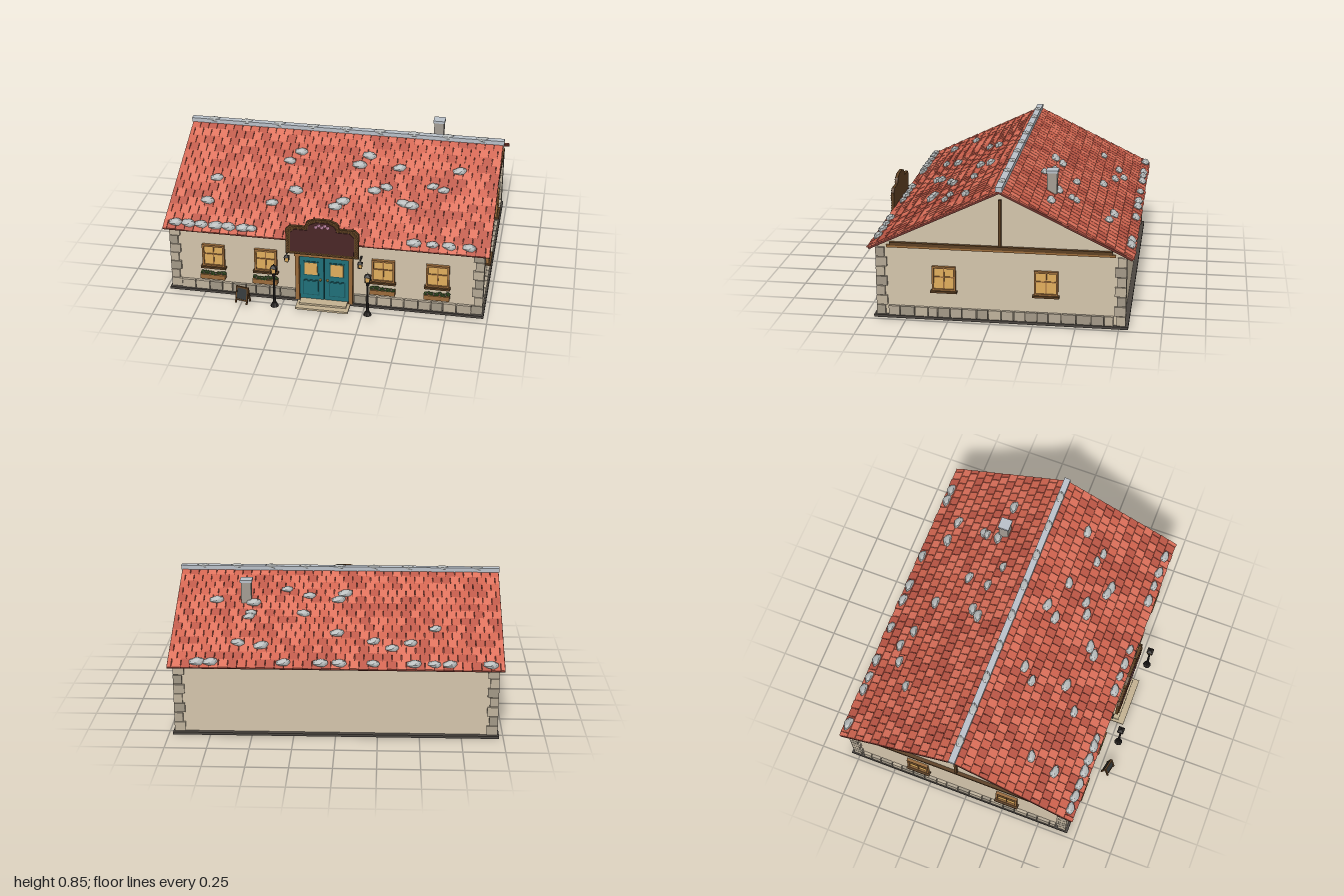
import * as THREE from 'three';
import { mergeGeometries } from 'three/addons/utils/BufferGeometryUtils.js';

const C = {
  plaster: 0xd3c4ab, slab: 0x4a4540, wood: 0x9a6b3a, dark: 0x5c3f22, amber: 0xe0ad5c, teal: 0x1f6f78,
  tealDark: 0x185860, iron: 0x2a2624, maroon: 0x4a2626, roof: 0x6e332b, pale: 0xb9c0c8, leaf: 0x3f5a2a,
  pink: 0xc88aa8, step: 0xc2b08f, brass: 0xc79a45, rock: 0xb4b8b8,
};
const STONES = [0xb3a794, 0xa29887, 0xbfb29c];
const TILES = [0xd0634e, 0xbc5645, 0xdd705a];
const MID = -0.055, RIDGE = 0.81, RUN = 0.77, DROP = 0.37;
const PITCH = Math.atan2(DROP, RUN), SLOPE = Math.hypot(DROP, RUN);

const mats = {};
const mat = (c) => (mats[c] ??= new THREE.MeshStandardMaterial({ color: c, flatShading: true }));
let seed = 7;
const rnd = () => ((seed = (seed * 16807) % 2147483647) / 2147483647);

function add(parent, name, geo, color, x = 0, y = 0, z = 0) {
  const m = new THREE.Mesh(geo, mat(color));
  m.name = name;
  m.position.set(x, y, z);
  parent.add(m);
  return m;
}
const box = (p, name, color, w, h, d, x, y, z) => add(p, name, new THREE.BoxGeometry(w, h, d), color, x, y, z);
function group(parent, name, x = 0, y = 0, z = 0, ry = 0) {
  const g = new THREE.Group();
  g.name = name;
  g.position.set(x, y, z);
  g.rotation.y = ry;
  parent.add(g);
  return g;
}

// One angular roof rock, flattened
function rockGeo(rx, ry, rz) {
  const g = new THREE.IcosahedronGeometry(1, 1), p = g.attributes.position;
  for (let i = 0; i < p.count; i++) {
    const k = 1 + 0.12 * Math.sin(9 * p.getX(i) + 5 * p.getY(i) + 7 * p.getZ(i));
    p.setXYZ(i, p.getX(i) * k * rx, p.getY(i) * k * ry, p.getZ(i) * k * rz);
  }
  return g;
}

// Window with four panes and a sill; origin at its centre on the wall
function windowUnit(parent, x, y) {
  const g = group(parent, 'window', x, y, 0);
  box(g, 'panes', C.amber, 0.12, 0.13, 0.01, 0, 0, 0.004);
  for (const s of [-1, 1]) {
    box(g, 'windowJamb', C.wood, 0.012, 0.148, 0.022, s * 0.064, 0, 0.008);
    box(g, 'windowRail', C.wood, 0.14, 0.012, 0.022, 0, s * 0.069, 0.008);
  }
  box(g, 'mullion', C.wood, 0.007, 0.13, 0.016, 0, 0, 0.006);
  box(g, 'crossbar', C.wood, 0.12, 0.007, 0.016, 0, 0.01, 0.006);
  box(g, 'windowSill', C.dark, 0.156, 0.012, 0.035, 0, -0.079, 0.014);
}

// Row of plinth stones between two positions along a wall
function plinth(parent, from, to) {
  for (let x = from; x < to - 0.01;) {
    let w = 0.055 + 0.035 * rnd();
    if (to - x - w < 0.03) w = to - x;
    box(parent, 'plinthStone', STONES[Math.floor(rnd() * 3)], w - 0.005, 0.056, 0.024, x + w / 2, 0.044, 0.006);
    x += w;
  }
}

// Roof plane: z runs down the slope from the ridge, y is outward
function roofSide(root, back, rocks) {
  const g = group(root, back ? 'backRoof' : 'frontRoof', 0, RIDGE, MID);
  g.rotation.set(PITCH, back ? Math.PI : 0, 0, 'YXZ');
  box(g, 'roofDeck', C.roof, 1.99, 0.014, SLOPE, 0, -0.004, SLOPE / 2);
  const lots = TILES.map(() => []);
  const rows = 14, cols = 36, step = SLOPE / rows, w = 1.99 / cols;
  for (let r = 0; r < rows; r++) {
    for (let c = 0; c <= cols; c++) {
      const x0 = Math.max(-0.995, -0.995 + (c - (r % 2) / 2) * w);
      const x1 = Math.min(0.995, -0.995 + (c + 1 - (r % 2) / 2) * w);
      if (x1 - x0 < 0.01) continue;
      const len = step * (1.02 + 0.12 * rnd());
      const t = new THREE.BoxGeometry(x1 - x0 - 0.004, 0.008, len);
      t.rotateX(0.07);
      t.translate((x0 + x1) / 2, 0.006, r * step + len / 2);
      lots[Math.floor(rnd() * 3)].push(t);
    }
  }
  lots.forEach((l, i) => add(g, 'roofTiles', mergeGeometries(l), TILES[i]));
  const lumps = rocks.map(([x, z]) => {
    const s = 0.85 + 0.3 * rnd();
    return rockGeo(0.04 * s, 0.02 * s, 0.024 * s).rotateY(rnd() * 0.5 - 0.25)
      .translate(back ? -x : x, 0.017, Math.abs(z - MID) / Math.cos(PITCH));
  });
  add(g, 'roofRocks', mergeGeometries(lumps), C.rock);
}

// Small four-sided lantern, origin at the bottom
function lantern(parent, x, y, z, s) {
  const g = group(parent, 'lantern', x, y, z);
  const cyl = (n, col, a, b, h, yy) => {
    add(g, n, new THREE.CylinderGeometry(a * s, b * s, h * s, 4).rotateY(Math.PI / 4), col, 0, yy * s, 0);
  };
  cyl('lanternBase', C.iron, 0.019, 0.014, 0.008, 0.004);
  cyl('lanternGlass', C.amber, 0.021, 0.015, 0.036, 0.026);
  cyl('lanternCap', C.iron, 0.006, 0.029, 0.015, 0.051);
  cyl('lanternTip', C.iron, 0.003, 0.004, 0.01, 0.063);
  for (const a of [-1, 1]) for (const b of [-1, 1])
    box(g, 'lanternBar', C.iron, 0.004 * s, 0.038 * s, 0.004 * s, a * 0.014 * s, 0.026 * s, b * 0.014 * s);
}

// Sign outline with stepped shoulders and a raised crown
function signShape(w, y0, y1, crownW, crownY) {
  const s = new THREE.Shape();
  s.moveTo(-w, y0).lineTo(w, y0).lineTo(w, y1 - 0.025).lineTo(w - 0.025, y1).lineTo(crownW + 0.03, y1);
  s.quadraticCurveTo(crownW + 0.025, crownY - 0.015, crownW, crownY - 0.012).lineTo(crownW * 0.6, crownY);
  s.lineTo(-crownW * 0.6, crownY).lineTo(-crownW, crownY - 0.012);
  s.quadraticCurveTo(-crownW - 0.025, crownY - 0.015, -crownW - 0.03, y1).lineTo(-w + 0.025, y1).lineTo(-w, y1 - 0.025);
  return s;
}

export function createModel() {
  const root = new THREE.Group();
  root.name = 'house';

  // Base slab and pentagonal wall block
  box(root, 'baseSlab', C.slab, 1.95, 0.016, 1.5, 0, 0.008, MID);
  const wall = new THREE.Shape();
  wall.moveTo(-0.72, 0.01).lineTo(0.72, 0.01).lineTo(0.72, 0.45).lineTo(0, 0.798).lineTo(-0.72, 0.45);
  const wallGeo = new THREE.ExtrudeGeometry(wall, { depth: 1.9, bevelEnabled: false });
  add(root, 'walls', wallGeo.translate(0, 0, -0.95).rotateY(Math.PI / 2), C.plaster, 0, 0, MID);

  // Corner stones, alternating long and short
  for (const sx of [-1, 1]) for (const sz of [-1, 1]) for (let i = 0; i < 7; i++) {
    const a = i % 2 ? 0.052 : 0.066, b = i % 2 ? 0.066 : 0.052;
    box(root, 'cornerStone', STONES[(i + sx + sz + 2) % 3], a, 0.056, b,
      sx * (0.966 - a / 2), 0.046 + i * 0.06, MID + sz * (0.734 - b / 2));
  }

  // Gable ends
  for (const s of [-1, 1]) {
    const g = group(root, 'gable', s * 0.95, 0, 0, s * Math.PI / 2);
    for (const z of [0.276, -0.325]) windowUnit(g, -s * z, 0.256);
    box(g, 'gableBeam', C.wood, 1.34, 0.014, 0.022, -s * MID, 0.443, 0.004);
    box(g, 'gableBeamTop', C.dark, 1.3, 0.02, 0.03, -s * MID, 0.46, 0.006);
    box(g, 'gablePost', C.dark, 0.016, 0.285, 0.024, -s * MID, 0.61, 0.004);
    plinth(g, -s * MID - 0.665, -s * MID + 0.665);
  }

  // Front: windows, flower boxes, plinth
  const front = group(root, 'front', 0, 0, 0.665);
  for (const x of [-0.693, -0.365, 0.36, 0.69]) {
    windowUnit(front, x, 0.256);
    const f = group(front, 'flowerBox', x, 0.128, 0.03);
    box(f, 'planter', C.wood, 0.155, 0.03, 0.04, 0, -0.004, 0);
    const leaves = [];
    for (let i = 0; i < 9; i++) leaves.push(new THREE.IcosahedronGeometry(0.013 + 0.004 * rnd(), 0)
      .translate(-0.066 + i * 0.0165, 0.014, (rnd() - 0.5) * 0.016));
    add(f, 'plants', mergeGeometries(leaves), C.leaf);
    for (let i = 0; i < 4; i++)
      add(f, 'blossom', new THREE.IcosahedronGeometry(0.005, 0), C.pink, -0.055 + i * 0.037, 0.022, 0.014);
  }
  plinth(front, -0.9, -0.18);
  plinth(front, 0.18, 0.9);

  // Double door
  const door = group(front, 'door');
  for (const s of [-1, 1]) {
    box(door, 'doorJamb', C.wood, 0.024, 0.32, 0.04, s * 0.165, 0.175, 0.014);
    box(door, 'doorLeaf', C.teal, 0.148, 0.3, 0.024, s * 0.076, 0.172, 0.012);
    box(door, 'doorGlassFrame', C.tealDark, 0.094, 0.098, 0.008, s * 0.08, 0.238, 0.024);
    box(door, 'doorGlass', C.amber, 0.078, 0.082, 0.012, s * 0.08, 0.238, 0.024);
    box(door, 'doorPanelFrame', C.tealDark, 0.102, 0.106, 0.006, s * 0.08, 0.105, 0.024);
    box(door, 'doorPanel', C.teal, 0.088, 0.092, 0.012, s * 0.08, 0.105, 0.024);
    add(door, 'doorKnob', new THREE.IcosahedronGeometry(0.008, 1), C.brass, s * 0.022, 0.165, 0.03);
    box(door, 'lanternBracket', C.iron, 0.01, 0.008, 0.045, s * 0.225, 0.338, 0.022);
    lantern(door, s * 0.225, 0.282, 0.045, 0.8);
    box(door, 'signBracket', C.iron, 0.012, 0.012, 0.08, s * 0.15, 0.385, 0.035);
  }
  box(door, 'lintel', C.wood, 0.36, 0.028, 0.045, 0, 0.337, 0.016);
  box(door, 'lintelCap', C.dark, 0.375, 0.01, 0.055, 0, 0.355, 0.018);
  box(root, 'lowerStep', C.step, 0.325, 0.012, 0.12, 0, 0.006, 0.73);
  box(root, 'upperStep', C.step, 0.29, 0.012, 0.08, 0, 0.018, 0.71);

  // Hanging sign board with a beaded border
  const sign = group(root, 'sign', 0, 0, 0.73);
  const ext = (s, depth) => new THREE.ExtrudeGeometry(s, { depth, bevelEnabled: false, curveSegments: 5 });
  const outer = signShape(0.222, 0.365, 0.555, 0.075, 0.61);
  add(sign, 'signBoard', ext(outer, 0.018), C.dark);
  add(sign, 'signPanel', ext(signShape(0.193, 0.385, 0.535, 0.058, 0.592), 0.004), C.maroon, 0, 0, 0.018);
  const beads = new THREE.Path(signShape(0.209, 0.375, 0.545, 0.068, 0.601).getPoints(4));
  beads.closePath();
  const beadGeos = beads.getSpacedPoints(72).map((p) => new THREE.IcosahedronGeometry(0.006, 0).translate(p.x, p.y, 0.019));
  add(sign, 'signBeads', mergeGeometries(beadGeos), C.wood);
  for (let i = -2; i <= 2; i++)
    add(sign, 'signFlower', rockGeo(0.012, 0.01, 0.005), C.pink, i * 0.018, 0.562 + (i % 2 ? 0.012 : 0), 0.022);

  // Street lamps
  for (const s of [-1, 1]) {
    const g = group(root, 'streetLamp', s * 0.286, 0, 0.8);
    add(g, 'lampFoot', new THREE.CylinderGeometry(0.014, 0.026, 0.025, 8), C.iron, 0, 0.03, 0);
    add(g, 'lampPole', new THREE.CylinderGeometry(0.005, 0.009, 0.21, 8), C.iron, 0, 0.14, 0);
    add(g, 'lampCollar', new THREE.CylinderGeometry(0.011, 0.011, 0.01, 8), C.iron, 0, 0.23, 0);
    lantern(g, 0, 0.243, 0, 1);
  }

  // Folding chalkboard
  const board = group(root, 'chalkboard', -0.485, 0.018, 0.795, -0.22);
  for (const s of [-1, 1]) {
    const leaf = group(board, 'boardLeaf', 0, 0.108, 0, s < 0 ? Math.PI : 0);
    leaf.rotation.order = 'YXZ';
    leaf.rotation.x = -0.22;
    box(leaf, 'boardFace', 0x33383a, 0.066, 0.075, 0.006, 0, -0.044, 0);
    for (const e of [-1, 1]) box(leaf, 'boardLeg', C.dark, 0.009, 0.108, 0.01, e * 0.036, -0.054, 0);
    for (const y of [-0.005, -0.084]) box(leaf, 'boardRail', C.dark, 0.08, 0.009, 0.01, 0, y, 0);
  }

  // Roof planes with scattered rocks, given as x, z
  const row = (xs, z) => xs.map((x) => [x, z]);
  roofSide(root, false, [
    ...row([-0.92, -0.84, -0.76, -0.67, -0.59, -0.5, -0.45, -0.11, -0.01, 0.08, 0.18, 0.54, 0.65, 0.75, 0.87], 0.675),
    [-0.31, 0.19], [-0.25, 0.12], [0.18, 0.11], [0.13, 0.18], [0.38, 0.18], [0.75, 0.17], [0.6, 0.29], [0.67, 0.31],
    [0.32, 0.32], [0.25, 0.35], [0.44, 0.42], [0.49, 0.43], [0.07, 0.44], [0.03, 0.48], [-0.23, 0.39],
    [-0.74, 0.35], [-0.76, 0.51], [-0.36, 0.49]]);
  roofSide(root, true, [
    ...row([-0.91, -0.67, -0.58, -0.46, -0.22, -0.02, 0.09, 0.31, 0.74, 0.82], -0.795),
    [-0.33, -0.68], [-0.44, -0.64], [-0.22, -0.63], [0, -0.57], [-0.59, -0.53], [0.45, -0.67], [0.59, -0.65],
    [0.21, -0.42], [0.54, -0.45], [0.53, -0.42], [0.52, -0.34], [0.75, -0.32], [0, -0.31], [-0.04, -0.26],
    [0.18, -0.28], [0.32, -0.23]]);

  // Ridge cap and chimney
  box(root, 'ridgeCap', C.pale, 2, 0.028, 0.04, 0, 0.825, MID);
  for (let i = -4; i <= 4; i++) add(root, 'ridgeRock', rockGeo(0.042, 0.018, 0.024), C.rock, i * 0.215, 0.832, MID);
  box(root, 'chimney', 0xa39c92, 0.062, 0.17, 0.06, 0.565, 0.735, -0.315);
  box(root, 'chimneyCap', C.pale, 0.074, 0.016, 0.072, 0.565, 0.822, -0.315);
  return root;
}
